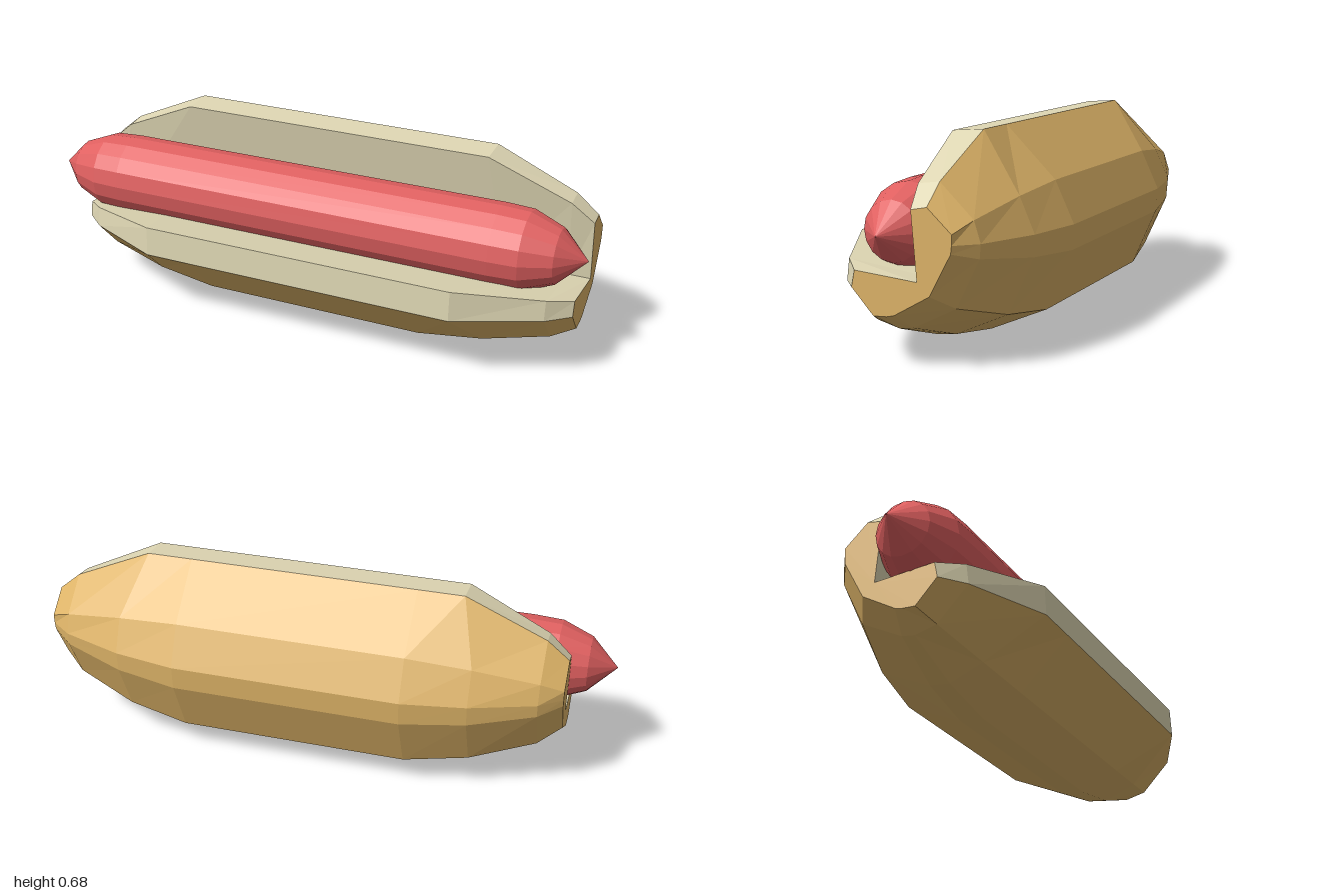
import * as THREE from 'three';

const mat = (name, color) => Object.assign(new THREE.MeshStandardMaterial({ color, flatShading: true }), { name });

// Bun cross-section as [z, y]: inner upper lip, round the back and bottom, inner lower lip, fold.
const FULL = [[0, 0.675], [-0.107, 0.683], [-0.276, 0.515], [-0.34, 0.378], [-0.334, 0.295], [-0.247, 0.095],
  [-0.05, 0.01], [0.035, 0.002], [0.172, 0.065], [0.34, 0.235], [0.335, 0.338], [-0.067, 0.274]];
const END = [[-0.05, 0.485], [-0.103, 0.495], [-0.182, 0.422], [-0.181, 0.39], [-0.178, 0.365], [-0.107, 0.235],
  [0.01, 0.168], [0.035, 0.162], [0.08, 0.16], [0.153, 0.24], [0.142, 0.292], [-0.067, 0.274]];
const N = FULL.length;
const isLip = (j) => j < 2 || j === 9 || j === 10;

// One ring at signed half-length h, blended by t from the end section to the full one.
function ring(h, t) {
  return FULL.map((f, j) => {
    const lipCorner = isLip(j) && t > 0.7 && t < 1;
    const k = isLip(j) && t > 0.7 ? 1 : t;
    const x = 0.0675 + (lipCorner ? Math.sign(h) * 0.56 : h);
    const [z, y] = f.map((v, c) => THREE.MathUtils.lerp(END[j][c], v, k));
    return [x, y, z];
  });
}

function triangles(name, list, material) {
  const geo = new THREE.BufferGeometry();
  geo.setAttribute('position', new THREE.Float32BufferAttribute(list.flat(), 3));
  geo.computeVertexNormals();
  const mesh = new THREE.Mesh(geo, material);
  mesh.name = name;
  return mesh;
}

export function createModel() {
  const group = new THREE.Group();
  group.name = 'hotDog';
  const crust = mat('golden crust', 0xdeb468);
  const crumb = mat('cream crumb', 0xded6b3);
  const meat = mat('red sausage', 0xe06060);

  // Bun: outer crust strips and the pale cut strips
  const steps = [[0.917, 0], [0.84, 0.34], [0.62, 0.78], [0.4, 1]];
  const rings = [...steps.map(([h, t]) => ring(-h, t)), ...steps.reverse().map(([h, t]) => ring(h, t))];
  const outer = [], cut = [];
  for (let i = 0; i < rings.length - 1; i++) {
    for (let j = 0; j < N; j++) {
      const n = (j + 1) % N;
      const a = rings[i][j], b = rings[i][n], c = rings[i + 1][n], d = rings[i + 1][j];
      (j === 0 || j >= 9 ? cut : outer).push(a, d, c, a, c, b);
    }
  }
  // End faces, fanned out from the fold
  const first = rings[0], last = rings[rings.length - 1];
  for (let j = 0; j < N - 2; j++) {
    outer.push(first[N - 1], first[j], first[j + 1]);
    outer.push(last[N - 1], last[j + 1], last[j]);
  }
  group.add(triangles('bunCrust', outer, crust), triangles('bunCutFaces', cut, crumb));

  // Sausage with pointed ends
  const half = [[0, 1], [0.095, 0.905], [0.137, 0.8], [0.142, 0.7]];
  const profile = [...half.map(([r, x]) => [r, -x]), ...half.slice().reverse()]
    .map(([r, x]) => new THREE.Vector2(r, x));
  const sausage = new THREE.Mesh(new THREE.LatheGeometry(profile, 16), meat);
  sausage.name = 'sausage';
  sausage.rotation.z = -Math.PI / 2;
  sausage.position.set(0, 0.4, 0.06);
  group.add(sausage);
  return group;
}
